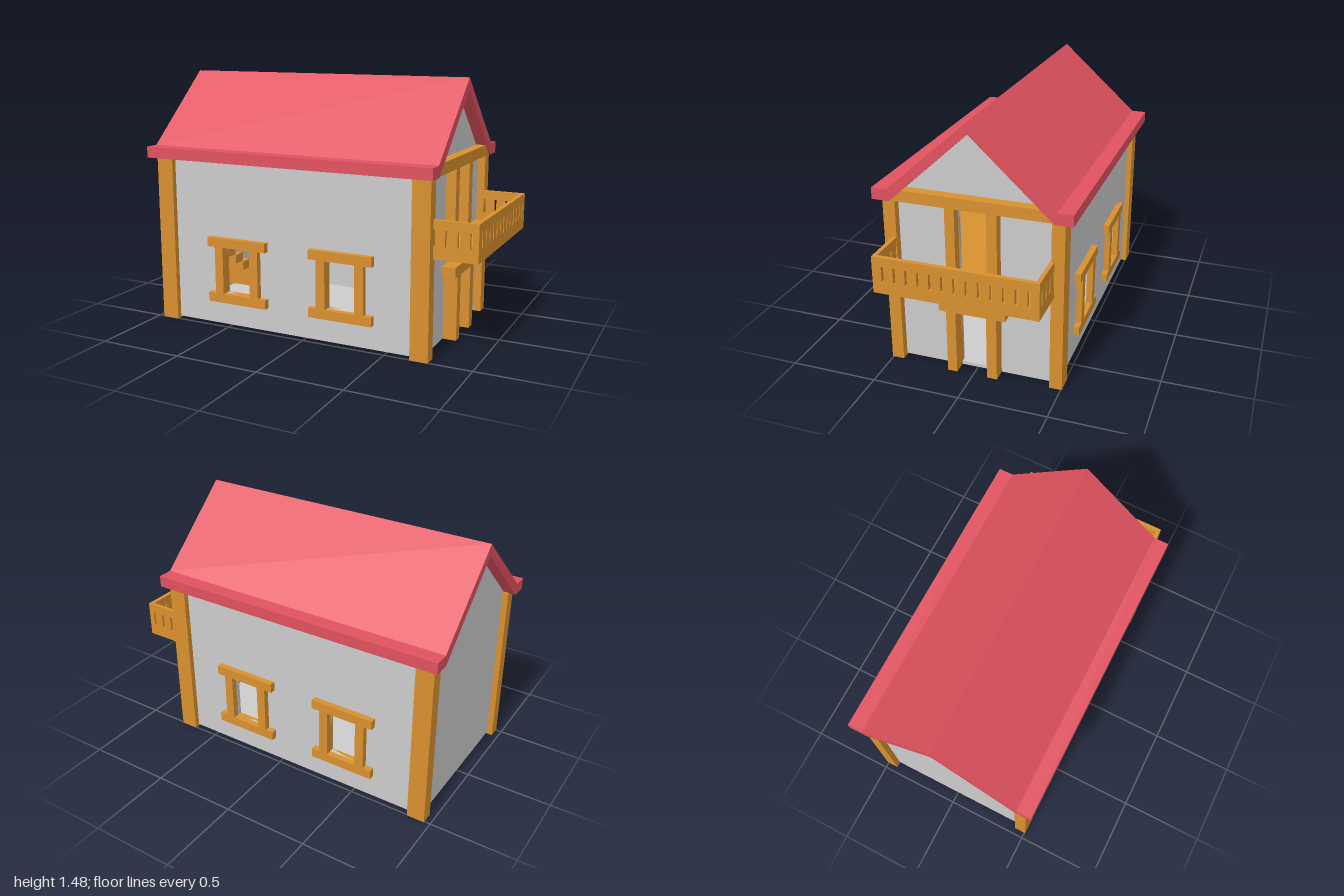
import * as THREE from 'three';

const grey = new THREE.MeshStandardMaterial({ color: 0xcccccc, flatShading: true });
const wood = new THREE.MeshStandardMaterial({ color: 0xd8902f, flatShading: true });
const red = new THREE.MeshStandardMaterial({ color: 0xe0525f, flatShading: true });

// Box given by its extents along each axis
function box(parent, name, mat, [x0, x1], [y0, y1], [z0, z1]) {
  const m = new THREE.Mesh(new THREE.BoxGeometry(x1 - x0, y1 - y0, z1 - z0), mat);
  m.position.set((x0 + x1) / 2, (y0 + y1) / 2, (z0 + z1) / 2);
  m.name = name;
  parent.add(m);
  return m;
}

const rect = (a0, a1, b0, b1) => [[a0, b0], [a1, b0], [a1, b1], [a0, b1]];
const vectors = (pts) => pts.map(([a, b]) => new THREE.Vector2(a, b));

// Flat panel with holes; "z" panels lie in xy and grow to +z,
// "x" panels take outlines in (z, y) and grow to -x
function panel(parent, name, mat, outline, holes, depth, axis, at) {
  const shape = new THREE.Shape(vectors(outline));
  holes.forEach((h) => shape.holes.push(new THREE.Path(vectors(h))));
  const m = new THREE.Mesh(new THREE.ExtrudeGeometry(shape, { depth, bevelEnabled: false }), mat);
  if (axis === 'x') {
    m.rotation.y = -Math.PI / 2;
    m.position.x = at;
  } else m.position.z = at;
  m.name = name;
  parent.add(m);
  return m;
}

const X0 = -0.93, X1 = 0.71, Z = 0.475, T = 0.03;   // wall faces and thickness
const windowX = [-0.43, 0.235];

function buildWalls() {
  const g = new THREE.Group();
  g.name = 'walls';
  // Long walls with window openings
  const openings = windowX.map((x) => rect(x - 0.09, x + 0.09, 0.205, 0.485));
  panel(g, 'frontWall', grey, rect(X0, X1, 0.01, 1), openings, T, 'z', Z - T);
  panel(g, 'backWall', grey, rect(X0, X1, 0.01, 1), openings, T, 'z', -Z);
  // Gable walls, the balcony side having two doorways
  const gable = [[-Z, 0.01], [Z, 0.01], [Z, 1], [0.455, 1], [0, 1.42], [-0.455, 1], [-Z, 1]];
  const doors = [rect(-0.088, 0.09, 0.03, 0.35), rect(-0.088, 0.09, 0.59, 0.98)];
  panel(g, 'doorWall', grey, gable, doors, T, 'x', X1);
  panel(g, 'plainGableWall', grey, gable, [], T, 'x', X0 + T);
  box(g, 'groundFloor', grey, [X0, X1], [0.01, 0.03], [-Z, Z]);
  return g;
}

function buildWindow(x, side) {
  const g = new THREE.Group();
  g.name = 'windowFrame';
  const z = side > 0 ? [0.445, 0.51] : [-0.51, -0.445];
  box(g, 'lintel', wood, [x - 0.193, x + 0.193], [0.485, 0.54], z);
  box(g, 'sill', wood, [x - 0.193, x + 0.193], [0.15, 0.205], z);
  for (const s of [-1, 1]) {
    const c = x + s * 0.117;
    box(g, 'jamb', wood, [c - 0.027, c + 0.027], [0.205, 0.485], z);
  }
  return g;
}

function buildDoorFrames() {
  const g = new THREE.Group();
  g.name = 'doorFrames';
  for (const z of [[0.09, 0.145], [-0.145, -0.087]]) {
    box(g, 'lowerJamb', wood, [0.69, 0.79], [0.01, 0.385], z);
    box(g, 'upperJamb', wood, [0.69, 0.768], [0.56, 0.99], z);
  }
  box(g, 'lowerLintel', wood, [0.69, 0.79], [0.385, 0.445], [-0.195, 0.187]);
  // Tie beam across the gable, its ends cut to the roof slope
  const beam = [[-0.455, 0.99], [0.455, 0.99], [0.385, 1.055], [-0.385, 1.055]];
  panel(g, 'tieBeam', wood, beam, [], 0.08, 'x', 0.77);
  return g;
}

function buildBalcony() {
  const g = new THREE.Group();
  g.name = 'balcony';
  const slot = (c) => rect(c - 0.007, c + 0.007, 0.628, 0.718);
  const frontSlots = [], sideSlots = [];
  for (let i = 0; i < 13; i++) frontSlots.push(slot(0.401 - i * 0.0665));
  for (let i = 0; i < 4; i++) sideSlots.push(slot(0.76 + i * 0.0667));
  box(g, 'balconyFloor', wood, [X1, 0.99], [0.56, 0.585], [-0.44, 0.45]);
  panel(g, 'frontRailing', wood, rect(-0.452, 0.46, 0.56, 0.77), frontSlots, 0.025, 'x', 1);
  for (const z of [-0.452, 0.437]) {
    panel(g, 'sideRailing', wood, rect(X1, 0.976, 0.56, 0.77), sideSlots, 0.023, 'z', z);
  }
  return g;
}

function buildInterior() {
  const g = new THREE.Group();
  g.name = 'interior';
  box(g, 'upperFloor', wood, [-0.58, X1 - T], [0.56, 0.585], [-0.445, 0.445]);
  // Open steps climbing toward the front along the plain gable
  for (let i = -2; i < 6; i++) {
    const y = 0.18 + i * 0.062, z = -0.023 + i * 0.082;
    box(g, 'stairStep', wood, [X0 + T, -0.62], [y, y + 0.055], [z, Math.min(z + 0.08, 0.445)]);
  }
  return g;
}

export function createModel() {
  const house = new THREE.Group();
  house.name = 'house';
  house.add(buildWalls(), buildDoorFrames(), buildBalcony(), buildInterior());

  for (const side of [1, -1]) {
    windowX.forEach((x) => house.add(buildWindow(x, side)));
    // Corner posts
    const z = side > 0 ? [0.435, 0.506] : [-0.506, -0.435];
    for (const x of [[-0.965, -0.86], [0.65, 0.755]]) {
      box(house, 'cornerPost', wood, x, [0, 0.995], z);
    }
  }

  // Roof: folded slab with flat eaves
  const right = [[0.455, 0.99], [0.555, 0.99], [0.555, 1.055], [0.468, 1.055]];
  const left = right.map(([z, y]) => [-z, y]).reverse();
  panel(house, 'roof', red, [[0, 1.41], ...right, [0, 1.475], ...left], [], 1.78, 'x', 0.78);
  return house;
}
